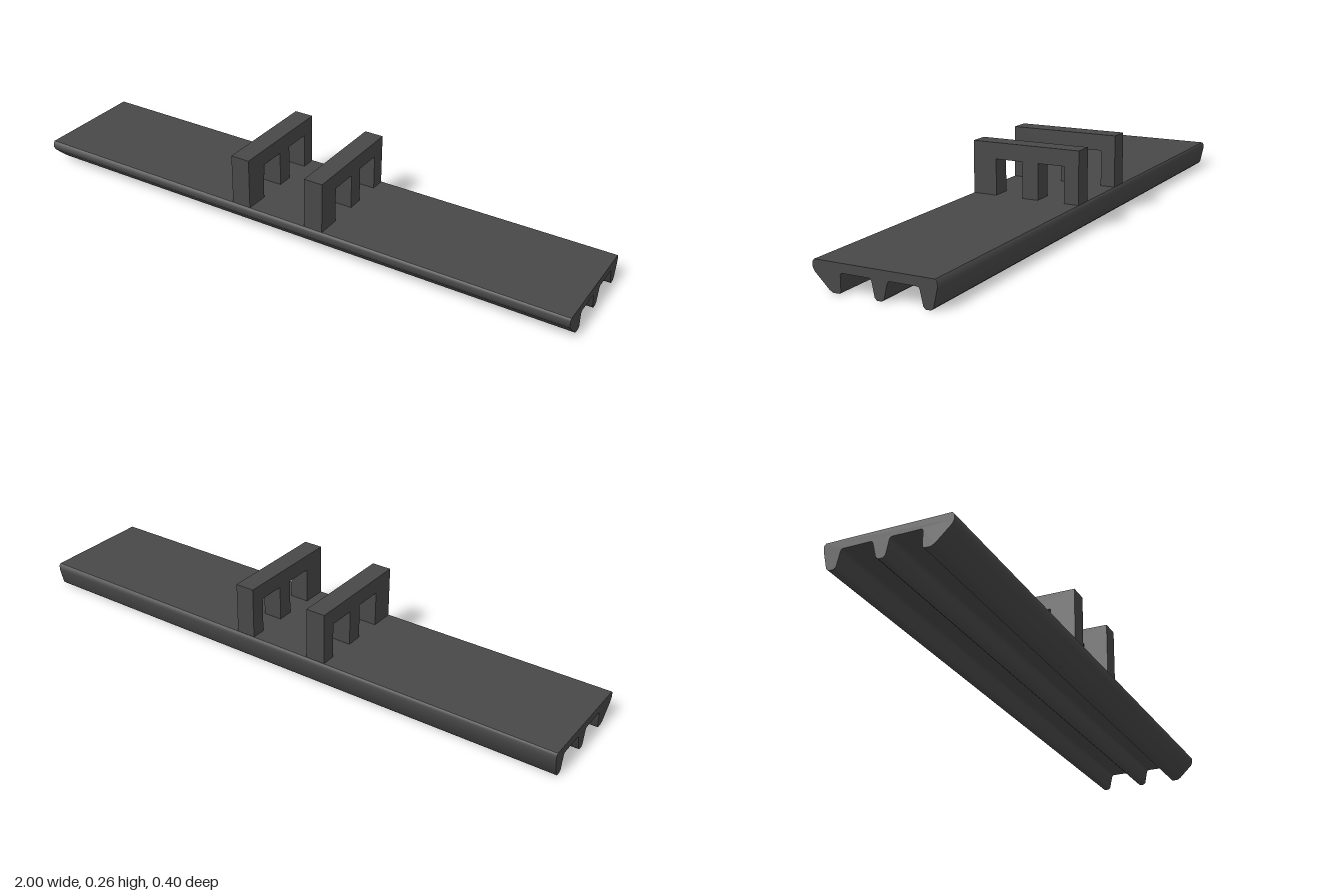
import * as THREE from 'three';
import { toCreasedNormals } from 'three/addons/utils/BufferGeometryUtils.js';

// Extrudes a (z, y) outline along x, between x0 and x1
function extrudeAlongX(points, x0, x1) {
  const shape = new THREE.Shape(points.map(([z, y]) => new THREE.Vector2(z, y)));
  const geometry = new THREE.ExtrudeGeometry(shape, { depth: x1 - x0, bevelEnabled: false });
  geometry.rotateY(-Math.PI / 2).translate(x1, 0, 0);
  return toCreasedNormals(geometry, 0.85);
}

export function createModel() {
  const model = new THREE.Group();
  model.name = 'ribbedRail';
  const darkGrey = new THREE.MeshStandardMaterial({ color: 0x484848 });
  darkGrey.name = 'darkGrey';

  const add = (name, geometry) => {
    const mesh = new THREE.Mesh(geometry, darkGrey);
    mesh.name = name;
    model.add(mesh);
  };

  // Long deck with a slanted front rib and two tapered ribs underneath
  const deckProfile = [
    [0.193, 0.087], [0.199, 0.08], [0.199, 0.064], [0.193, 0.052],
    [0.146, 0.007], [0.134, 0], [0.113, 0], [0.108, 0.006],
    [0.108, 0.052], [0.106, 0.057], [0.101, 0.059],
    [0.015, 0.059], [0.01, 0.057], [0.007, 0.052],
    [-0.002, 0.007], [-0.009, 0], [-0.024, 0], [-0.032, 0.007],
    [-0.043, 0.052], [-0.046, 0.057], [-0.051, 0.059],
    [-0.136, 0.059], [-0.141, 0.057], [-0.144, 0.052],
    [-0.154, 0.007], [-0.161, 0], [-0.177, 0], [-0.185, 0.007],
    [-0.198, 0.064], [-0.198, 0.08], [-0.192, 0.087],
  ];
  add('ribbedDeck', extrudeAlongX(deckProfile, -1, 1));

  // Two upright frames, each with three posts and a top bar
  const base = 0.08, underBar = 0.209, top = 0.264;
  const frameProfile = [
    [0.193, top], [0.193, base], [0.109, base], [0.109, underBar],
    [0.011, underBar], [0.011, base], [-0.045, base], [-0.045, underBar],
    [-0.14, underBar], [-0.14, base], [-0.191, base], [-0.191, top],
  ];
  add('rightFrame', extrudeAlongX(frameProfile, -0.192, -0.124));
  add('leftFrame', extrudeAlongX(frameProfile, 0.09, 0.157));

  return model;
}
